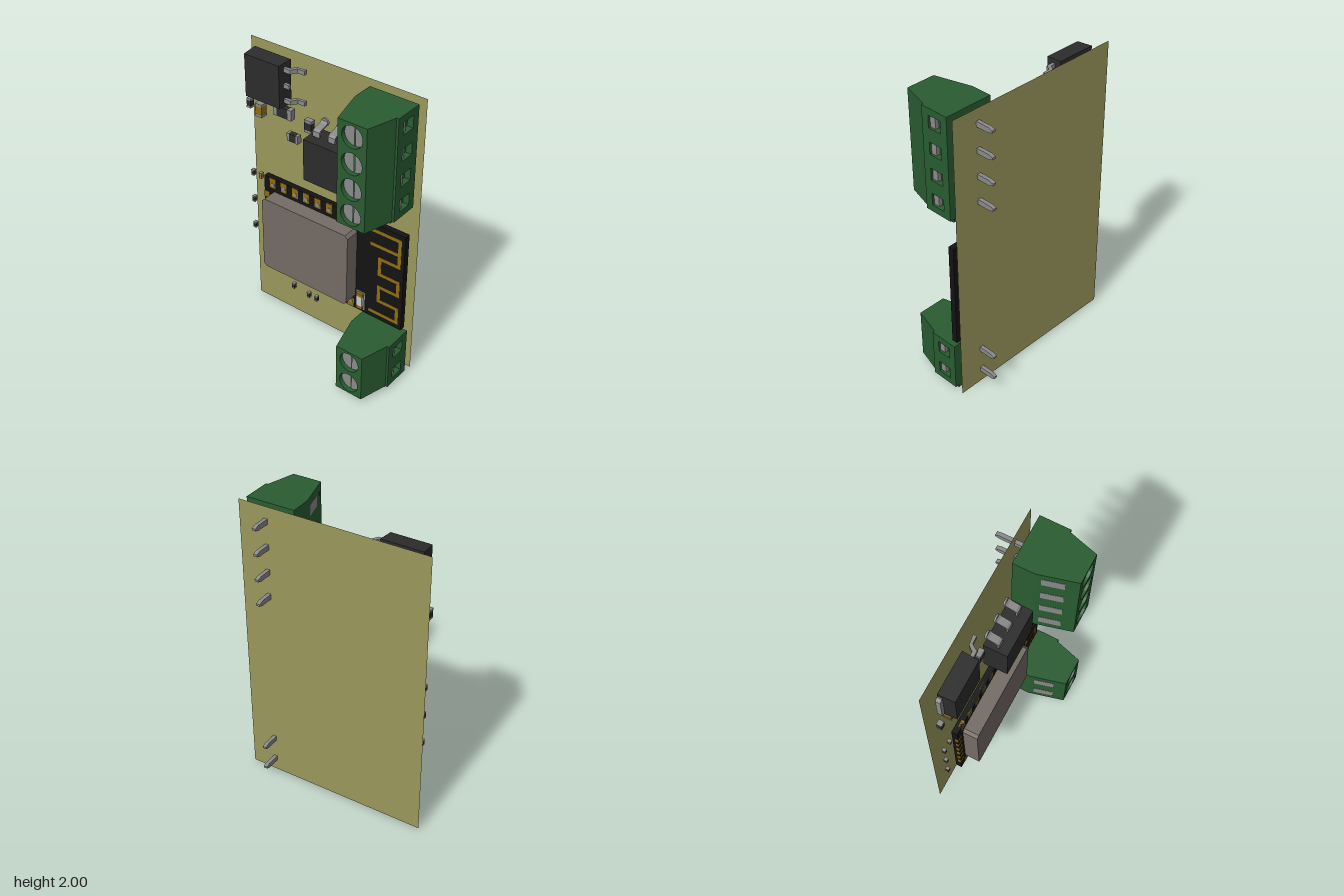
import * as THREE from 'three';

const mat = (color, side = THREE.FrontSide) =>
  new THREE.MeshStandardMaterial({ color, side, flatShading: true });
const M = {
  board: mat(0x9a985c, THREE.DoubleSide), green: mat(0x295c31), metal: mat(0x8a8a8a),
  chip: mat(0x2c2c2c), black: mat(0x131313), gold: mat(0x8f6d12), shield: mat(0x746c65), white: mat(0xdddddd),
};
const BASE = -0.105;  // underside of the components
const BOARD = -0.165; // plane of the board

function add(parent, name, geometry, material, x = 0, y = 0, z = 0) {
  const mesh = new THREE.Mesh(geometry, material);
  mesh.name = name;
  mesh.position.set(x, y, z);
  parent.add(mesh);
  return mesh;
}

// Box given by its limits
function block(parent, name, material, x0, x1, y0, y1, z0, z1) {
  return add(parent, name, new THREE.BoxGeometry(x1 - x0, y1 - y0, z1 - z0), material,
    (x0 + x1) / 2, (y0 + y1) / 2, (z0 + z1) / 2);
}

const polygon = (pts) => new THREE.Shape(pts.map(([a, b]) => new THREE.Vector2(a, b)));
const extrude = (shape, depth) =>
  new THREE.ExtrudeGeometry(shape, { depth, bevelEnabled: false, curveSegments: 12 });
// Outline in (x, z), extruded along +y
const alongY = (pts, depth) => extrude(polygon(pts.map(([x, z]) => [x, -z])), depth).rotateX(-Math.PI / 2);
// Outline in (z, y), extruded along x and centred on it
const alongX = (shape, depth) => extrude(shape, depth).translate(0, 0, -depth / 2).rotateY(-Math.PI / 2);

// Rectangle with cut corners, in (x, y)
const cutRect = (w, h, c) => polygon([
  [-w / 2 + c, -h / 2], [w / 2 - c, -h / 2], [w / 2, -h / 2 + c], [w / 2, h / 2 - c],
  [w / 2 - c, h / 2], [-w / 2 + c, h / 2], [-w / 2, h / 2 - c], [-w / 2, -h / 2 + c]]);

// Box whose front face is drawn in a little
function moulded(w, h, d, inset) {
  const g = new THREE.BoxGeometry(w, h, d);
  const p = g.attributes.position;
  for (let i = 0; i < p.count; i++) {
    if (p.getZ(i) > 0) p.setXY(i, p.getX(i) - Math.sign(p.getX(i)) * inset, p.getY(i) - Math.sign(p.getY(i)) * inset);
  }
  g.computeVertexNormals();
  return g;
}

// Front cap with screw holes, widening backwards to meet the slopes
function screwCap(height, centres) {
  const shape = polygon([[-0.0975, 0], [0.0975, 0], [0.0975, height], [-0.0975, height]]);
  for (const cy of centres) shape.holes.push(new THREE.Path().absarc(0, cy, 0.07, 0, Math.PI * 2, true));
  const g = extrude(shape, 0.035);
  const p = g.attributes.position;
  for (let i = 0; i < p.count; i++) {
    const x = p.getX(i);
    if (Math.abs(x) > 0.09 && p.getZ(i) < 0.01) p.setX(i, x + Math.sign(x) * 0.01);
  }
  g.computeVertexNormals();
  return g;
}

function terminalBlock(name, poles, x, y, railXs) {
  const g = new THREE.Group();
  const pitch = 0.17, height = poles * pitch;
  const centres = Array.from({ length: poles }, (_, i) => (i + 0.5) * pitch);
  g.name = name;
  g.position.set(x, y, 0);
  add(g, 'terminalBody', alongY([[0.29, BASE], [0.29, 0.035], [0.3455, 0.245], [0.56, 0.245],
    [0.605, 0.09], [0.58, 0.09], [0.58, BASE]], height), M.green);
  add(g, 'screwCap', screwCap(height, centres), M.green, 0.4525, 0, 0.245);

  // Side wall with a wire opening for each pole
  const wall = polygon([[BASE, 0], [0.09, 0], [0.09, height], [BASE, height]]);
  for (const cy of centres) {
    wall.holes.push(new THREE.Path([[-0.055, -0.04], [-0.055, 0.04], [0.04, 0.04], [0.04, -0.04]]
      .map(([z, dy]) => new THREE.Vector2(z, cy + dy))));
    block(g, 'wireClamp', M.metal, 0.575, 0.605, cy - 0.04, cy + 0.04, 0, 0.04);

    // Slotted screw as two half discs, sunk in its hole
    for (const s of [0, Math.PI]) {
      const half = new THREE.CylinderGeometry(0.068, 0.068, 0.01, 24, 1, false, s, Math.PI).rotateX(Math.PI / 2);
      add(g, 'screwHalf', half, M.metal, 0.4525 + (s ? -0.003 : 0.003), cy, 0.247);
    }
    // Contact window on the sloping face
    add(g, 'contactWindow', alongY([[0.304, 0.07], [0.2975, 0.07], [0.332, 0.2], [0.338, 0.2]], 0.07),
      M.metal, 0, cy - 0.035, 0);

    // Flat solder pin with tapered tip
    const pin = polygon([[BASE, -0.017], [BASE, 0.017], [-0.255, 0.017], [-0.285, 0.007], [-0.285, -0.007], [-0.255, -0.017]]);
    add(g, 'solderPin', alongX(pin, 0.025), M.metal, 0.447, cy, 0);
  }
  add(g, 'wireWall', alongX(wall, 0.04), M.green, 0.6, 0, 0);

  // Dovetail joining rails
  for (const rx of railXs) {
    add(g, 'joiningRail', extrude(polygon([[-0.01, 0], [-0.02, -0.025], [0.02, -0.025], [0.01, 0]]), 0.18), M.green, rx, 0, -0.1);
  }
  return g;
}

// Two-ended chip component; the long side sets its direction
function chipPart(parent, x, y, w, h, d, body = M.chip, ends = M.metal) {
  const g = new THREE.Group();
  g.name = 'chipComponent';
  g.position.set(x, y, BASE + d / 2);
  const tall = h > w, len = Math.max(w, h), cap = len * 0.2;
  add(g, 'chipBody', new THREE.BoxGeometry(tall ? w * 0.96 : w - 2 * cap, tall ? h - 2 * cap : h * 0.96, d * 0.96), body);
  for (const s of [-1, 1]) {
    const o = s * (len - cap) / 2;
    add(g, 'chipEnd', new THREE.BoxGeometry(tall ? w : cap, tall ? cap : h, d), ends, tall ? 0 : o, tall ? o : 0);
  }
  parent.add(g);
  return g;
}

function radioModule() {
  const g = new THREE.Group();
  g.name = 'radioModule';
  const top = -0.065;
  block(g, 'moduleBoard', M.black, -0.48, 0.605, 0.385, 1.105, BASE, top);
  add(g, 'shield', extrude(cutRect(0.675, 0.535, 0.02), 0.1), M.shield, -0.0825, 0.7415, top);

  // Edge pads with plated holes
  for (let i = 0; i < 8; i++) {
    const x = -0.41 + i * 0.09;
    for (const y of [0.42, 1.07]) {
      block(g, 'edgePad', M.gold, x - 0.024, x + 0.024, y - 0.035, y + 0.035, top - 0.02, top + 0.002);
      add(g, 'padHole', new THREE.CylinderGeometry(0.014, 0.014, 0.004, 12).rotateX(Math.PI / 2),
        y > 1 && i > 5 ? M.black : M.metal, x, y + (y > 1 ? -0.01 : 0.01), top + 0.002);
    }
  }
  for (let i = 0; i < 6; i++) {
    const y = 0.52 + i * 0.09;
    block(g, 'sidePad', M.gold, -0.481, -0.438, y - 0.022, y + 0.022, top - 0.02, top + 0.002);
  }

  // Meandering antenna trace: [x0, y0, x1, y1] for each run
  const L = 0.43, R = 0.57, A = 0.37;
  const runs = [[A, 1.06, R, 1.06], [R, 1.06, R, 0.865], [A, 0.955, R, 0.955], [L, 0.865, R, 0.865],
    [L, 0.865, L, 0.745], [L, 0.745, R, 0.745], [R, 0.745, R, 0.645], [L, 0.645, R, 0.645],
    [L, 0.645, L, 0.535], [L, 0.535, R, 0.535], [R, 0.535, R, 0.43], [A, 0.43, R, 0.43]];
  const t = 0.012;
  for (const [x0, y0, x1, y1] of runs) {
    block(g, 'antennaTrace', M.gold, Math.min(x0, x1) - t, Math.max(x0, x1) + t,
      Math.min(y0, y1) - t, Math.max(y0, y1) + t, top - 0.005, top + 0.002);
  }
  // Indicator light
  block(g, 'lightBase', M.metal, 0.265, 0.33, 0.405, 0.545, top, top + 0.004);
  const light = chipPart(g, 0.297, 0.475, 0.045, 0.12, 0.022, M.white, M.gold);
  light.name = 'indicatorLight';
  light.position.z = top + 0.011;
  return g;
}

function regulator() {
  const g = new THREE.Group();
  g.name = 'regulator';
  add(g, 'regulatorBody', moulded(0.275, 0.295, 0.105, 0.006), M.chip, -0.4175, 1.8275, -0.0525);
  add(g, 'heatTab', extrude(cutRect(0.1, 0.24, 0.02), 0.03), M.metal, -0.53, 1.825, BASE);
  // Bent outer legs and the short middle one
  for (const y of [1.725, 1.93]) {
    add(g, 'regulatorLeg', alongY([[-0.29, -0.04], [-0.29, -0.06], [-0.25, -0.063], [-0.225, BASE + 0.01],
      [-0.16, BASE], [-0.16, -0.082], [-0.21, -0.08], [-0.235, -0.04]], 0.028), M.metal, 0, y - 0.014, 0);
  }
  block(g, 'middleLeg', M.metal, -0.29, -0.245, 1.811, 1.839, -0.06, -0.04);
  return g;
}

function isolator() {
  const g = new THREE.Group();
  g.name = 'isolator';
  add(g, 'isolatorBody', moulded(0.325, 0.29, 0.155, 0.004), M.chip, 0.0925, 1.445, -0.0235);
  // Gull-wing legs in two mirrored rows, each with a rounded toe
  for (const s of [-1, 1]) {
    const leg = polygon([[-0.01, 0.14], [-0.012, 0.175], [-0.025, 0.187], [-0.08, 0.2], [-0.092, 0.212],
      [-0.1, 0.21], [-0.09, 0.193], [-0.035, 0.178], [-0.025, 0.168], [-0.022, 0.14]].map(([z, y]) => [z, s * y]));
    for (const x of [-0.02, 0.092, 0.205]) {
      add(g, 'isolatorLeg', alongX(leg, 0.05), M.metal, x, 1.447, 0);
      add(g, 'legToe', new THREE.CylinderGeometry(0.027, 0.027, 0.012, 16).rotateX(Math.PI / 2),
        M.metal, x, 1.447 + s * 0.203, -0.098);
    }
  }
  return g;
}

export function createModel() {
  const model = new THREE.Group();
  model.name = 'circuitBoard';
  add(model, 'board', new THREE.PlaneGeometry(1.266, 1.988), M.board, -0.002, 1.006, BOARD);
  model.add(
    terminalBlock('upperTerminal', 4, -0.003, 1.31, [0.57]),
    terminalBlock('lowerTerminal', 2, 0.009, 0.025, [0.345, 0.57]),
    radioModule(), regulator(), isolator());

  // Loose chip components: x, y, width, height, depth
  chipPart(model, -0.593, 1.587, 0.033, 0.065, 0.035);
  chipPart(model, -0.503, 1.573, 0.052, 0.09, 0.05, M.gold);
  chipPart(model, -0.323, 1.617, 0.14, 0.07, 0.04);
  chipPart(model, -0.13, 1.587, 0.055, 0.085, 0.035);
  chipPart(model, -0.25, 1.46, 0.085, 0.055, 0.035);
  chipPart(model, -0.53, 1.07, 0.022, 0.042, 0.025, M.gold);
  for (const [x, y] of [[-0.593, 1.07], [-0.593, 0.865], [-0.593, 0.655], [-0.27, 0.29], [-0.143, 0.275], [-0.08, 0.275]]) {
    chipPart(model, x, y, 0.022, 0.042, 0.025);
  }
  return model;
}
